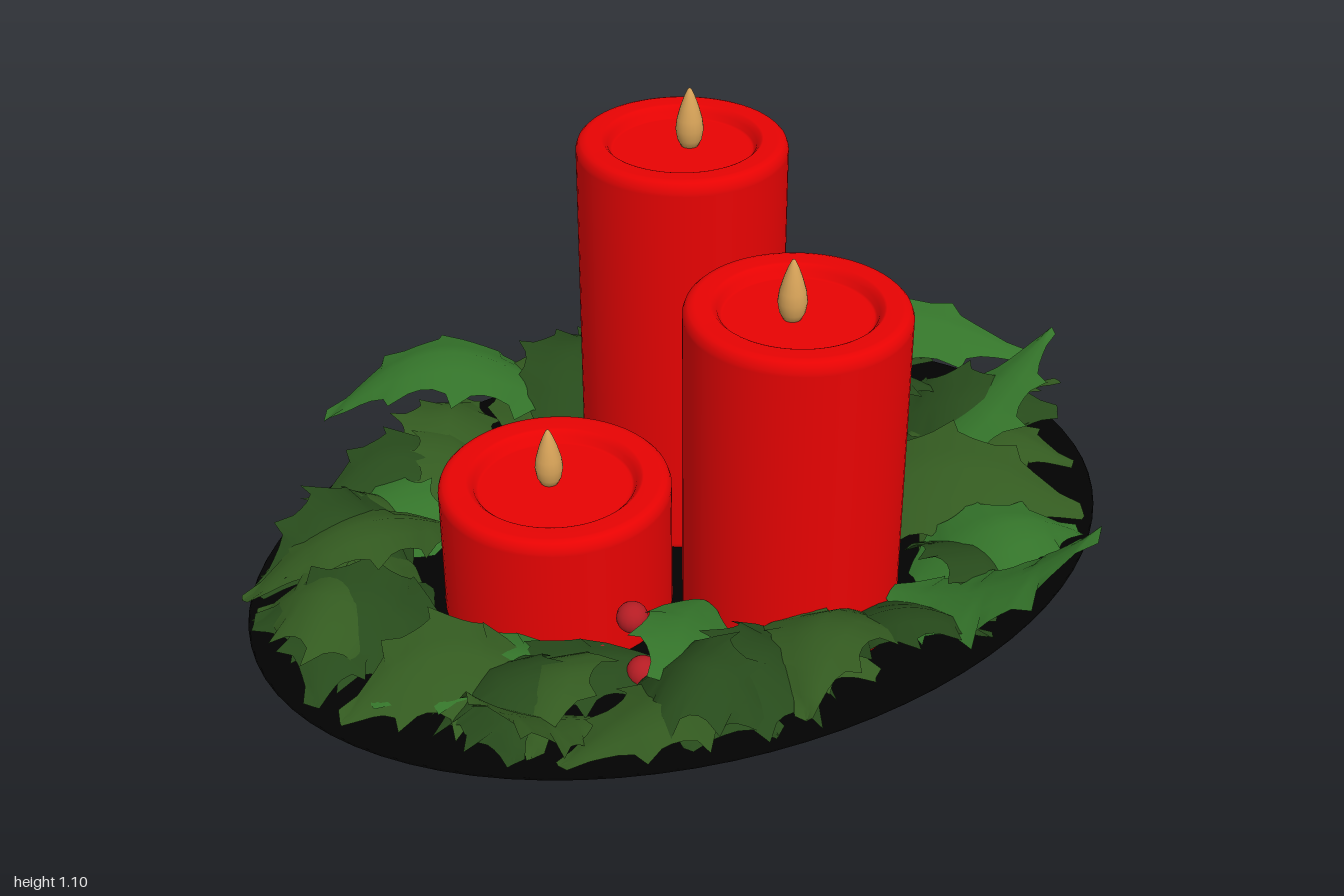
import * as THREE from 'three';

const mat = (name, color, side = THREE.FrontSide) => {
  const m = new THREE.MeshStandardMaterial({ color, side });
  m.name = name;
  return m;
};

const lathe = (points, segments) =>
  new THREE.LatheGeometry(points.map(([r, y]) => new THREE.Vector2(r, y)), segments);

// Oval plate: half-lengths LONG and SHORT, turned by TURN, centred at CX, CZ
const LONG = 1.015, SHORT = 0.74, TURN = 0.41, CX = -0.012, CZ = 0.088;
const onPlate = (angle, s) => {
  const u = s * LONG * Math.cos(angle), v = s * SHORT * Math.sin(angle);
  return [CX + u * Math.cos(TURN) + v * Math.sin(TURN), CZ - u * Math.sin(TURN) + v * Math.cos(TURN)];
};
// Lowest height for a leaf, following the hollow of the plate
const floorAt = (x, z) => {
  const dx = x - CX, dz = z - CZ;
  const u = dx * Math.cos(TURN) - dz * Math.sin(TURN), v = dx * Math.sin(TURN) + dz * Math.cos(TURN);
  const s = Math.hypot(u / LONG, v / SHORT);
  return 0.075 + 0.067 * THREE.MathUtils.clamp((s - 0.68) / 0.29, 0, 1);
};

// Holly leaf: cross-sections along the midrib, with spines on the edge
function leafGeometry([x0, z0, x1, z1, width, y0, y1, arch], i) {
  const rows = 20, across = [-1, -0.5, 0, 0.5, 1];
  const dx = x1 - x0, dz = z1 - z0, len = Math.hypot(dx, dz);
  const ux = dx / len, uz = dz / len;
  const roll = 0.4 * Math.sin(i * 2.4), bend = 0.05 * Math.sin(i * 1.7);
  const pos = [], index = [];
  for (let k = 0; k <= rows; k++) {
    const t = k / rows;
    const envelope = Math.max(0, Math.sin(Math.PI * (0.07 + 0.93 * Math.pow(t, 0.8))));
    const spine = [0.96, 0.87, 0.87, 0.94, 1.24][k % 5];
    for (const s of across) {
      const edge = Math.abs(s) === 1;
      const w = 0.56 * width * envelope * (edge ? spine : 0.93) * s;
      const along = t * len + (edge && k % 5 === 4 ? 0.02 : 0);
      const side = w + bend * Math.sin(Math.PI * t);
      const x = x0 + ux * along - uz * side, z = z0 + uz * along + ux * side;
      const y = y0 + (y1 - y0) * t * t + arch * Math.sin(Math.PI * t) - 0.28 * Math.abs(w) + roll * w;
      pos.push(x, Math.max(y, floorAt(x, z) + i * 0.0004), z);
    }
    if (k < rows) for (let j = 0; j < 4; j++) {
      const a = k * 5 + j, b = a + 5;
      index.push(a, a + 1, b, a + 1, b + 1, b);
    }
  }
  const g = new THREE.BufferGeometry();
  g.setAttribute('position', new THREE.Float32BufferAttribute(pos, 3));
  g.setIndex(index);
  g.computeVertexNormals();
  return g;
}

export function createModel() {
  const root = new THREE.Group();
  const black = mat('plate black', 0x020202);
  const red = mat('wax red', 0xe80303);
  const gold = mat('flame gold', 0xd6a258);
  const berryRed = mat('berry red', 0xb51d24);
  const brown = mat('twig brown', 0x5a3414);
  const bright = mat('leaf green', 0x34742a, THREE.DoubleSide);
  const olive = mat('leaf olive green', 0x335a20, THREE.DoubleSide);
  const dark = mat('leaf dark green', 0x274a1b, THREE.DoubleSide);
  const group = (name) => {
    const g = new THREE.Group();
    g.name = name;
    root.add(g);
    return g;
  };
  const add = (name, geometry, material, parent = root) => {
    const m = new THREE.Mesh(geometry, material);
    m.name = name;
    parent.add(m);
    return m;
  };

  // Shallow oval plate
  const plateGeometry = lathe([
    [0, 0], [0.73, 0.03], [1, 0.13], [0.995, 0.137], [0.975, 0.135], [0.72, 0.06], [0, 0.05],
  ], 80).scale(LONG, 1, SHORT).rotateY(TURN);
  add('plate', plateGeometry, black).position.set(CX, 0, CZ);

  // Candles: x, z, radius, top, flame x, flame z
  const candles = [
    [0.01, -0.19, 0.233, 0.985, 0.028, -0.203],
    [0.188, 0.29, 0.237, 0.825, 0.174, 0.3],
    [-0.315, 0.187, 0.253, 0.375, -0.326, 0.17],
  ];
  const flameGeometry = lathe([
    [0, 0], [0.018, 0], [0.027, 0.018], [0.031, 0.042], [0.028, 0.066], [0.02, 0.095],
    [0.011, 0.12], [0.004, 0.135], [0, 0.138],
  ], 20);
  for (const [x, z, r, top, fx, fz] of candles) {
    const candle = group('candle');
    // Rounded rim and a sunken pool around the wick
    const wax = lathe([
      [0, 0.045], [r - 0.005, 0.045], [r, 0.05], [r, 0.06], [r, top - 0.03], [r, top - 0.022],
      [r - 0.004, top - 0.01], [r - 0.011, top - 0.003], [r - 0.02, top], [r - 0.025, top],
      [r * 0.76, top], [r * 0.74, top - 0.002], [r * 0.7, top - 0.012], [r * 0.68, top - 0.024],
      [r * 0.66, top - 0.026], [r * 0.64, top - 0.026], [0, top - 0.026],
    ], 64);
    add('wax', wax, red, candle).position.set(x, 0, z);
    add('flame', flameGeometry, gold, candle).position.set(fx, top - 0.028, fz);
  }

  // Wreath: a ring of leaves swept around the plate, leaning alternately
  const wreath = group('hollyWreath');
  const shades = [olive, dark, olive, dark, bright];
  const ringCount = 24, rimCount = 10;
  for (let i = 0; i < ringCount; i++) {
    const angle = (i / ringCount) * Math.PI * 2;
    const lean = i % 3 === 1 ? -0.3 : 0.42;
    const vary = Math.sin(i * 5.3);
    const leaf = [
      ...onPlate(angle, 0.62 + 0.04 * vary), ...onPlate(angle + lean, 0.95 + 0.04 * vary),
      0.21 + 0.03 * vary, 0.14, 0.17 + 0.03 * Math.sin(i * 3.1), 0.085 + 0.03 * vary,
    ];
    add('hollyLeaf', leafGeometry(leaf, i), shades[i % 5], wreath);
  }
  // Denser outer leaves along the front and the right-hand rim
  for (let i = 0; i < rimCount; i++) {
    const angle = Math.PI * (0.5 + 0.09 * i);
    const leaf = [
      ...onPlate(angle, 0.7), ...onPlate(angle + (i % 2 ? 0.4 : -0.35), 0.98),
      0.22, 0.16, 0.15, 0.09 + 0.03 * Math.sin(i * 4.1),
    ];
    add('rimLeaf', leafGeometry(leaf, ringCount + i), i % 2 ? olive : dark, wreath);
  }

  // Larger loose leaves: base x, z, tip x, z, width, base y, tip y, arch
  const looseLeaves = [
    [bright, -0.25, -0.42, -0.84, -0.4, 0.27, 0.18, 0.18, 0.14],
    [bright, -0.2, -0.5, 0.42, -0.6, 0.2, 0.18, 0.18, 0.08],
    [bright, 0.2, -0.5, 0.94, -0.42, 0.21, 0.19, 0.2, 0.11],
    [bright, 0.52, -0.02, 0.94, -0.34, 0.2, 0.17, 0.35, 0.04],
    [bright, 0.38, 0.42, 0.77, 0.6, 0.2, 0.18, 0.44, 0.02],
    [dark, -0.3, -0.28, -0.1, -0.67, 0.23, 0.19, 0.19, 0.1],
    [dark, -0.18, -0.52, 0.1, -0.89, 0.19, 0.17, 0.17, 0.06],
    [dark, 0.05, -0.55, 0.27, -0.84, 0.21, 0.16, 0.22, 0.05],
    [dark, 0.25, -0.53, 0.61, -0.79, 0.18, 0.16, 0.26, 0.05],
    [dark, 0.25, -0.2, 0.68, -0.3, 0.24, 0.19, 0.2, 0.1],
    [olive, 0.32, 0.09, 0.88, 0.2, 0.26, 0.17, 0.17, 0.1],
    [bright, -0.02, 0.42, -0.08, 0.82, 0.16, 0.19, 0.16, 0.06],
    [olive, -0.28, 0.72, -0.53, 0.88, 0.18, 0.15, 0.38, 0.02],
    [olive, -0.55, 0.08, -1, 0.26, 0.21, 0.19, 0.15, 0.12],
    [olive, 0.56, -0.2, 0.99, -0.39, 0.17, 0.16, 0.15, 0.06],
  ];
  looseLeaves.forEach(([material, ...leaf], i) =>
    add('looseLeaf', leafGeometry(leaf, ringCount + rimCount + i), material, wreath));

  // Berry sprigs: a foot point and the berries on stalks
  const sprigs = [
    { foot: [-0.4, 0.1, -0.06], berries: [[-0.38, 0.23, -0.2], [-0.45, 0.2, -0.14],
      [-0.41, 0.15, -0.09], [-0.35, 0.17, -0.13], [-0.5, 0.18, -0.04]] },
    { foot: [0.42, 0.1, -0.04], berries: [[0.32, 0.17, -0.08], [0.42, 0.18, -0.1],
      [0.5, 0.2, -0.1], [0.49, 0.18, -0.03], [0.3, 0.15, 0.01], [0.38, 0.16, 0.03]] },
    { foot: [-0.13, 0.09, 0.5], berries: [[-0.25, 0.13, 0.52], [-0.18, 0.21, 0.485],
      [-0.04, 0.14, 0.475], [-0.17, 0.15, 0.59], [-0.06, 0.15, 0.575]] },
  ];
  const berryGeometry = new THREE.SphereGeometry(0.034, 16, 12);
  for (const { foot, berries } of sprigs) {
    const sprig = group('berrySprig');
    const a = new THREE.Vector3(...foot);
    for (const p of berries) {
      const b = new THREE.Vector3(...p);
      add('berry', berryGeometry, berryRed, sprig).position.copy(b);
      const mid = a.clone().lerp(b, 0.5).add(new THREE.Vector3(0, 0.02, 0));
      const path = new THREE.QuadraticBezierCurve3(a, mid, b);
      add('stalk', new THREE.TubeGeometry(path, 6, 0.006, 6), brown, sprig);
    }
  }
  return root;
}
